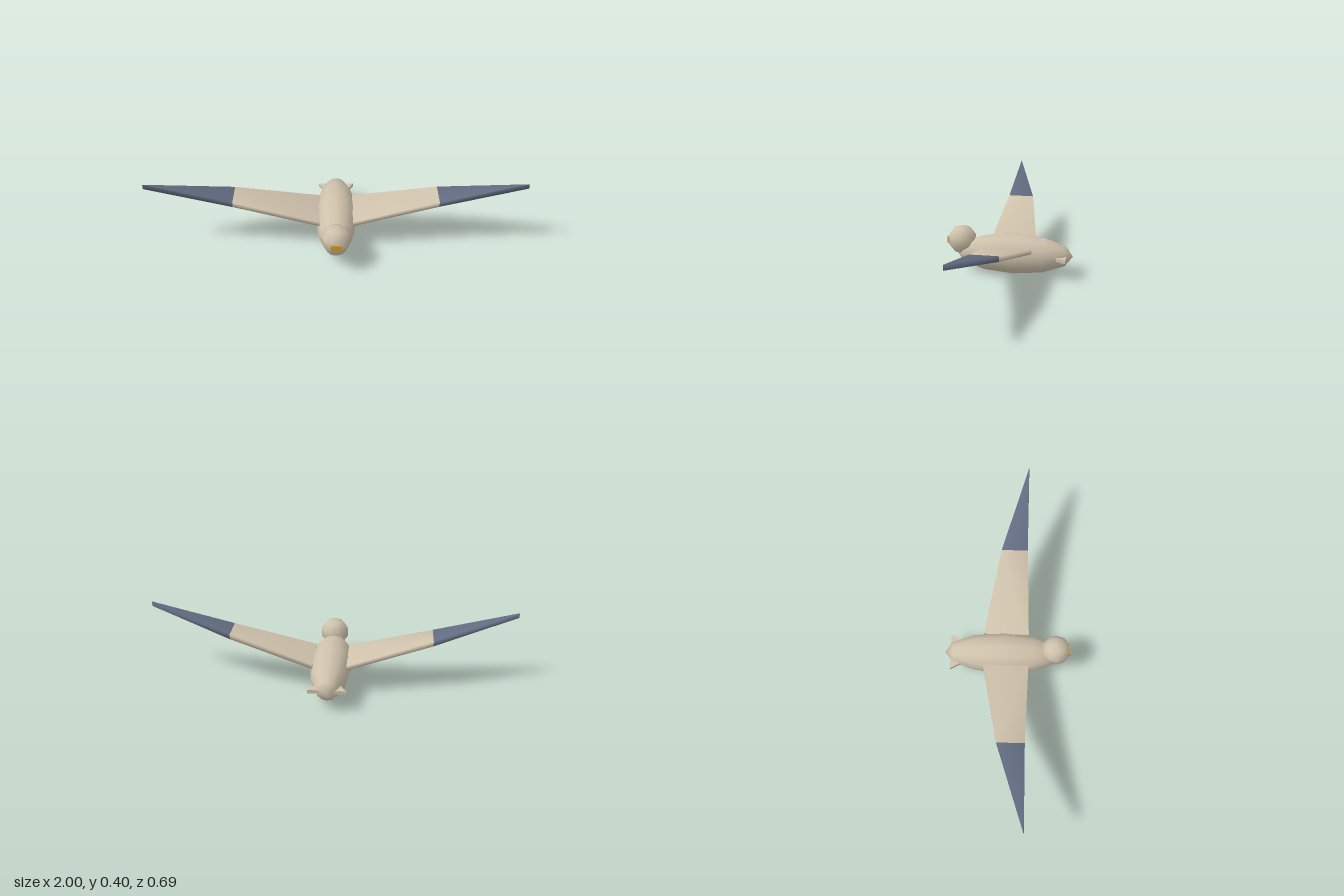
import * as THREE from 'three';

const material = (name, color, side = THREE.FrontSide) => {
  const m = new THREE.MeshStandardMaterial({ color, side });
  m.name = name;
  return m;
};

// Four corners of a wing section: front bottom, front top, back top, back bottom
const section = (x, y, zFront, zBack, thick) => [
  [x, y - thick / 2, zFront], [x, y + thick / 2, zFront],
  [x, y + thick / 2, zBack], [x, y - thick / 2, zBack],
];

// Closed, smooth-shaded loft between two sections; side = 1 left, -1 right
function loft(inner, outer, side) {
  const positions = [...inner, ...outer].flatMap(([x, y, z]) => [x * side, y, z]);
  const index = [];
  const quad = (a, b, c, d) => index.push(...(side > 0 ? [a, b, c, a, c, d] : [a, c, b, a, d, c]));
  for (let i = 0; i < 4; i++) {
    const j = (i + 1) % 4;
    quad(i, i + 4, j + 4, j);
  }
  quad(0, 1, 2, 3);
  quad(7, 6, 5, 4);
  const g = new THREE.BufferGeometry();
  g.setAttribute('position', new THREE.Float32BufferAttribute(positions, 3));
  g.setIndex(index);
  g.computeVertexNormals();
  return g;
}

export function createModel() {
  const group = new THREE.Group();
  const plumage = material('beige plumage', 0xcfc2ac);
  const slate = material('slate wing tip', 0x626b80);
  const amber = material('amber beak', 0xd99a2b);

  const add = (name, geometry, mat, x = 0, y = 0, z = 0) => {
    const mesh = new THREE.Mesh(geometry, mat);
    mesh.name = name;
    mesh.position.set(x, y, z);
    group.add(mesh);
    return mesh;
  };

  // Long body with its poles at the breast and the tail
  const body = new THREE.SphereGeometry(1, 12, 6);
  body.rotateX(Math.PI / 2).scale(0.112, 0.111, 0.322);
  add('body', body, plumage, 0, 0.111, -0.023);

  // Head and stubby beak
  add('head', new THREE.SphereGeometry(0.079, 10, 5), plumage, 0, 0.177, 0.264);
  add('beak', new THREE.BoxGeometry(0.052, 0.032, 0.04), amber, 0, 0.175, 0.323);

  for (const side of [1, -1]) {
    const label = side > 0 ? 'left' : 'right';

    // Tapering wing with a swept dark tip
    const root = section(0.09, 0.156, 0.115, -0.132, 0.026);
    const middle = section(0.545, 0.274, 0.1, -0.045, 0.028);
    const tip = section(1, 0.39, 0.1, 0.098, 0.026);
    add(label + 'Wing', loft(root, middle, side), plumage);
    add(label + 'WingTip', loft(middle, tip, side), slate);

    // Flat triangular tail feather
    const feather = new THREE.Shape([
      new THREE.Vector2(0.1 * side, 0.314),
      new THREE.Vector2(0.02 * side, 0.314),
      new THREE.Vector2(0.055 * side, 0.235),
    ]);
    const plate = new THREE.ExtrudeGeometry(feather, { depth: 0.02, bevelEnabled: false });
    plate.rotateX(-Math.PI / 2);
    add(label + 'TailFeather', plate, plumage, 0, 0.102, 0);
  }
  return group;
}
